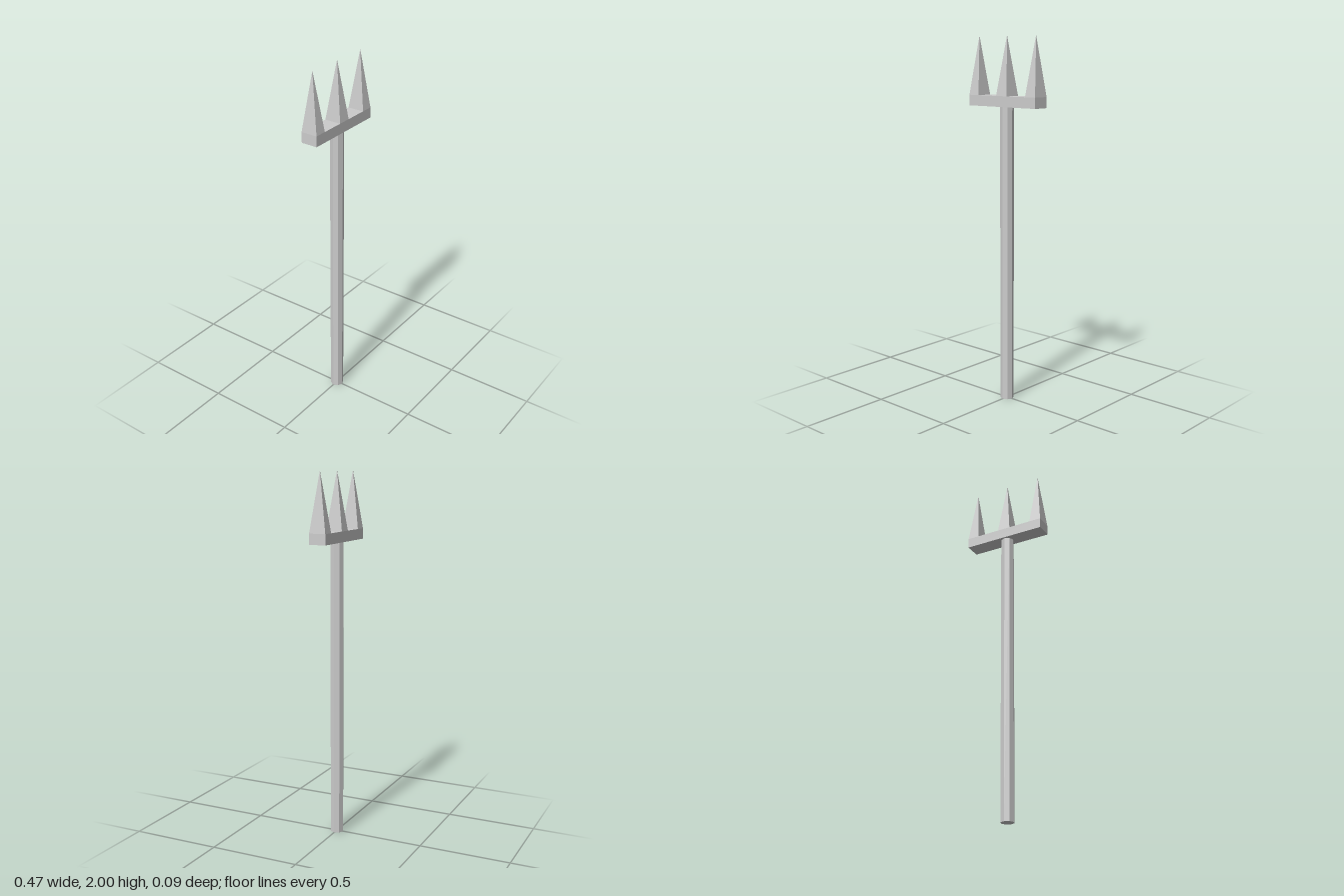
import * as THREE from 'three';

export function createModel() {
  const group = new THREE.Group();
  const material = new THREE.MeshStandardMaterial({ color: 0xcccccc, flatShading: true });

  const add = (name, geometry, x, y) => {
    const mesh = new THREE.Mesh(geometry, material);
    mesh.name = name;
    mesh.position.set(x, y, 0);
    group.add(mesh);
  };

  const barBottom = 1.628, barTop = 1.685, tip = 2, depth = 0.092;

  // Octagonal shaft
  add('shaft', new THREE.CylinderGeometry(0.037, 0.037, barBottom, 8), 0, barBottom / 2);

  // Crossbar carrying the prongs
  add('crossbar', new THREE.BoxGeometry(0.466, barTop - barBottom, depth), 0, (barBottom + barTop) / 2);

  // Four-sided prongs rising from the bar
  const prong = (width) =>
    new THREE.ConeGeometry(Math.SQRT1_2, tip - barTop, 4, 1, true)
      .rotateY(Math.PI / 4)
      .scale(width, 1, depth);
  const prongY = (barTop + tip) / 2;
  add('middleProng', prong(0.074), 0, prongY);
  add('leftProng', prong(0.068), 0.199, prongY);
  add('rightProng', prong(0.068), -0.199, prongY);

  return group;
}
